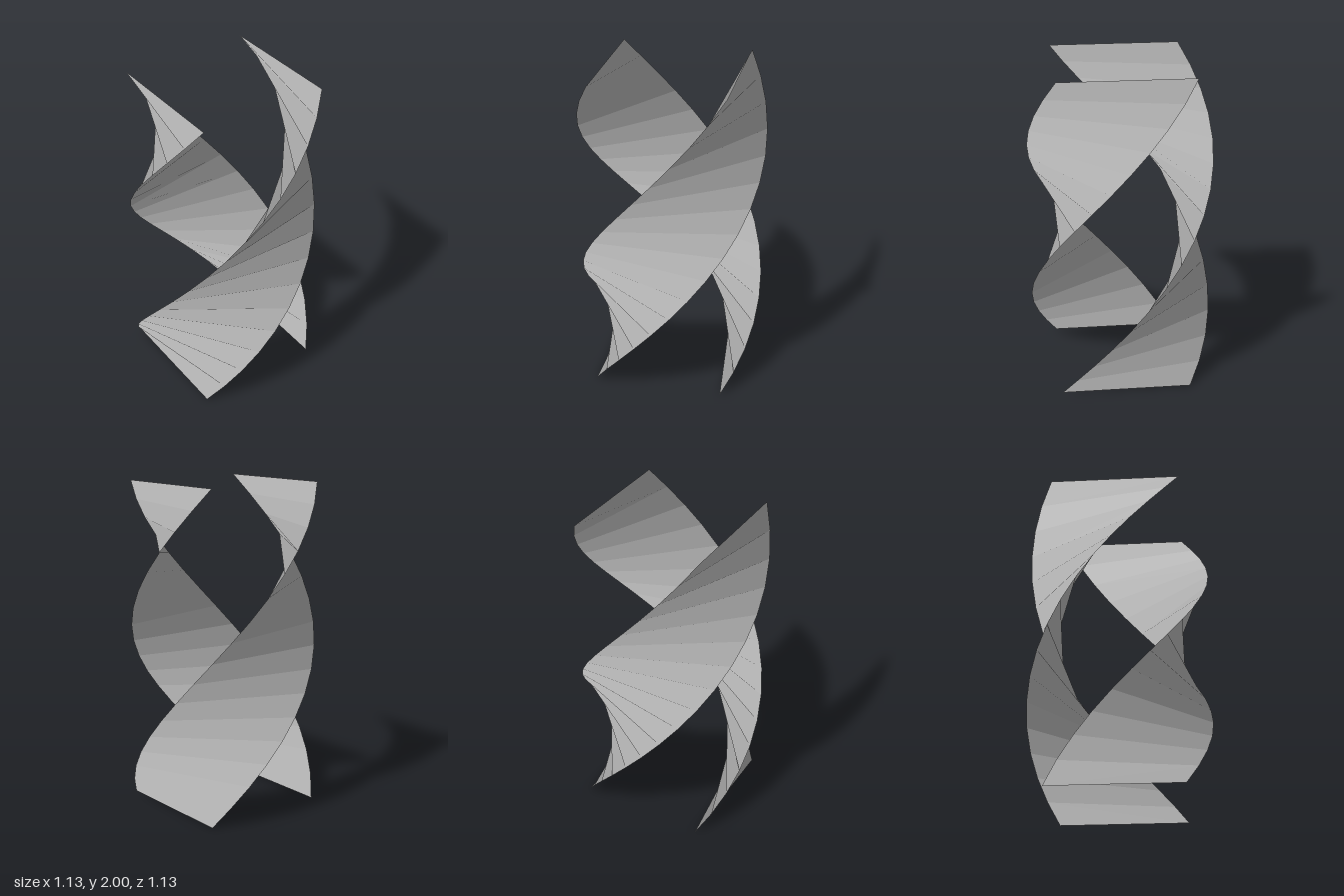
import * as THREE from 'three';

const HEIGHT = 2;
const STEPS = 16;
const TWIST = Math.PI;
const RADIUS = 0.4 * Math.SQRT2;

// One flat wall, twisted half a turn as it rises; each step is a faceted quad
function twistedWall() {
  const positions = [], normals = [], indices = [];
  const corner = (step, side) => {
    const a = (step / STEPS) * TWIST + side * Math.PI / 4;
    return [RADIUS * Math.sin(a), (step / STEPS) * HEIGHT, RADIUS * Math.cos(a)];
  };
  for (let i = 0; i < STEPS; i++) {
    positions.push(...corner(i, -1), ...corner(i, 1), ...corner(i + 1, 1), ...corner(i + 1, -1));
    // one shared normal per quad
    const mid = ((i + 0.5) / STEPS) * TWIST;
    for (let k = 0; k < 4; k++) normals.push(Math.sin(mid), 0, Math.cos(mid));
    const b = i * 4;
    indices.push(b, b + 1, b + 2, b, b + 2, b + 3);
  }
  const geometry = new THREE.BufferGeometry();
  geometry.setAttribute('position', new THREE.Float32BufferAttribute(positions, 3));
  geometry.setAttribute('normal', new THREE.Float32BufferAttribute(normals, 3));
  geometry.setIndex(indices);
  return geometry;
}

export function createModel() {
  const group = new THREE.Group();
  group.name = 'doubleHelix';
  const material = new THREE.MeshStandardMaterial({ color: 0xcccccc, side: THREE.DoubleSide });
  const geometry = twistedWall();

  // Two opposite ribbons
  for (const [name, angle] of [['leftRibbon', Math.PI / 2], ['rightRibbon', -Math.PI / 2]]) {
    const ribbon = new THREE.Mesh(geometry, material);
    ribbon.name = name;
    ribbon.rotation.y = angle;
    group.add(ribbon);
  }
  return group;
}
